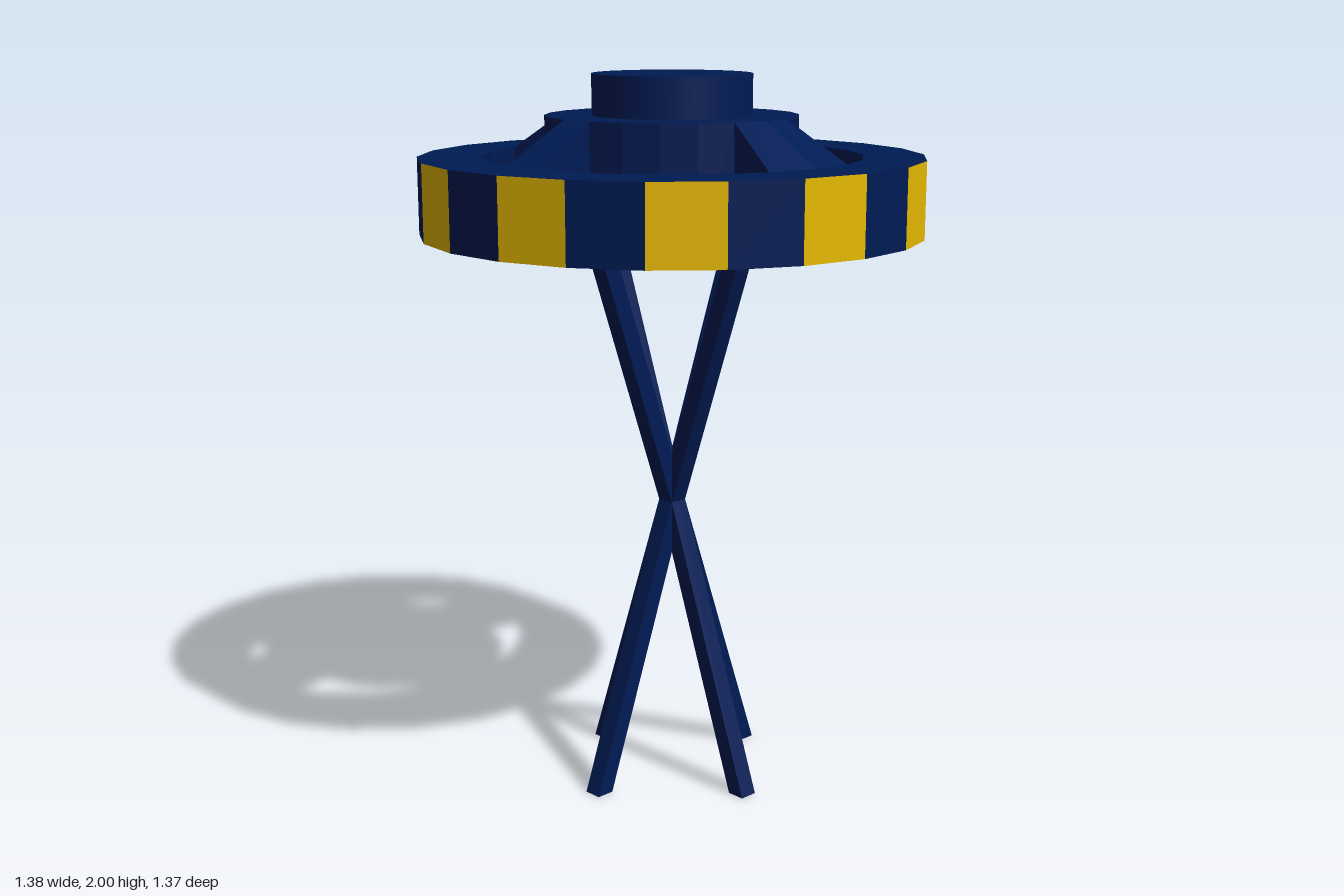
import * as THREE from 'three';

const SIDES = 22, STEP = (Math.PI * 2) / SIDES;
const R_OUT = 0.69, R_IN = 0.52, R_HUB = 0.345;
const Y_BOT = 1.57, Y_RIM = 1.78, Y_HUB = 1.89;

const navy = new THREE.MeshStandardMaterial({ color: 0x001b54 });
navy.name = 'navy';
const yellow = new THREE.MeshStandardMaterial({ color: 0xecbe00 });
yellow.name = 'yellow';

// point on sector boundary i
const P = (r, i, y) => [r * Math.cos(i * STEP), y, r * Math.sin(i * STEP)];

// gathers faces, one triangle list per colour
class Faces {
  constructor() { this.lists = [[], []]; }
  add(striped, ...pts) {
    for (let k = 1; k < pts.length - 1; k++)
      this.lists[striped].push(...pts[0], ...pts[k], ...pts[k + 1]);
  }
  mesh(name) {
    const g = new THREE.BufferGeometry(), [a, b] = this.lists;
    g.setAttribute('position', new THREE.Float32BufferAttribute([...a, ...b], 3));
    g.addGroup(0, a.length / 3, 0);
    g.addGroup(a.length / 3, b.length / 3, 1);
    g.computeVertexNormals();
    const m = new THREE.Mesh(g, [navy, yellow]);
    m.name = name;
    return m;
  }
}

// top and underside of one sector between radii r0 and r1
function caps(f, i, r0, y0, r1, y1, stripe) {
  const j = i + 1;
  f.add(0, P(r1, j, y1), P(r1, i, y1), P(r0, i, y0), ...(r0 ? [P(r0, j, y0)] : []));
  f.add(stripe, P(r1, i, Y_BOT), P(r1, j, Y_BOT), ...(r0 ? [P(r0, j, Y_BOT)] : []), P(r0, i, Y_BOT));
}

// outward-facing wall of one sector
const wall = (r, i, y) => [P(r, i + 1, Y_BOT), P(r, i, Y_BOT), P(r, i, y), P(r, i + 1, y)];

// spoke flank on boundary i, facing the lower angle
const flank = (i) => [P(R_IN, i, Y_BOT), P(R_HUB, i, Y_BOT), P(R_HUB, i, Y_HUB), P(R_IN, i, Y_RIM)];

export function createModel() {
  const group = new THREE.Group();
  group.name = 'spokedTopStand';

  const spokeSectors = [21, 0, 5, 10, 11, 16];
  const isSpoke = (i) => spokeSectors.includes((i + SIDES) % SIDES);
  const rim = new Faces(), hub = new Faces(), spokes = new Faces();

  for (let i = 0; i < SIDES; i++) {
    const stripe = i % 2 ? 0 : 1;
    // rim, its underside stripes alternating with those of the wall
    caps(rim, i, R_IN, Y_RIM, R_OUT, Y_RIM, 1 - stripe);
    rim.add(stripe, ...wall(R_OUT, i, Y_RIM));
    // central hub
    caps(hub, i, 0, Y_HUB, R_HUB, Y_HUB, stripe);
    // sloping spokes, or the open walls between them
    if (isSpoke(i)) {
      caps(spokes, i, R_HUB, Y_HUB, R_IN, Y_RIM, stripe);
      if (!isSpoke(i - 1)) spokes.add(0, ...flank(i));
      if (!isSpoke(i + 1)) spokes.add(0, ...flank(i + 1).reverse());
    } else {
      rim.add(0, ...wall(R_IN, i, Y_RIM).reverse());
      hub.add(0, ...wall(R_HUB, i, Y_HUB));
    }
  }
  group.add(rim.mesh('rim'), hub.mesh('hub'), spokes.mesh('spokes'));

  // raised round cap
  const cap = new THREE.Mesh(new THREE.CylinderGeometry(0.218, 0.218, 0.11, 48), navy);
  cap.name = 'cap';
  cap.position.y = 1.945;
  group.add(cap);

  // four crossed square legs, slanted so that their feet stay level
  const legs = new THREE.Group();
  legs.name = 'legs';
  const crossing = 0.81, slope = 0.287 / crossing, height = Y_BOT + 0.01;
  for (let k = 0; k < 4; k++) {
    const g = new THREE.BoxGeometry(0.052, height, 0.052);
    g.translate(0, height / 2, 0);
    const p = g.attributes.position;
    for (let v = 0; v < p.count; v++)
      p.setX(v, p.getX(v) + (crossing - p.getY(v)) * slope);
    g.computeVertexNormals();
    const leg = new THREE.Mesh(g, navy);
    leg.name = 'leg' + (k + 1);
    leg.rotation.y = (k * Math.PI) / 2;
    legs.add(leg);
  }
  group.add(legs);
  return group;
}
